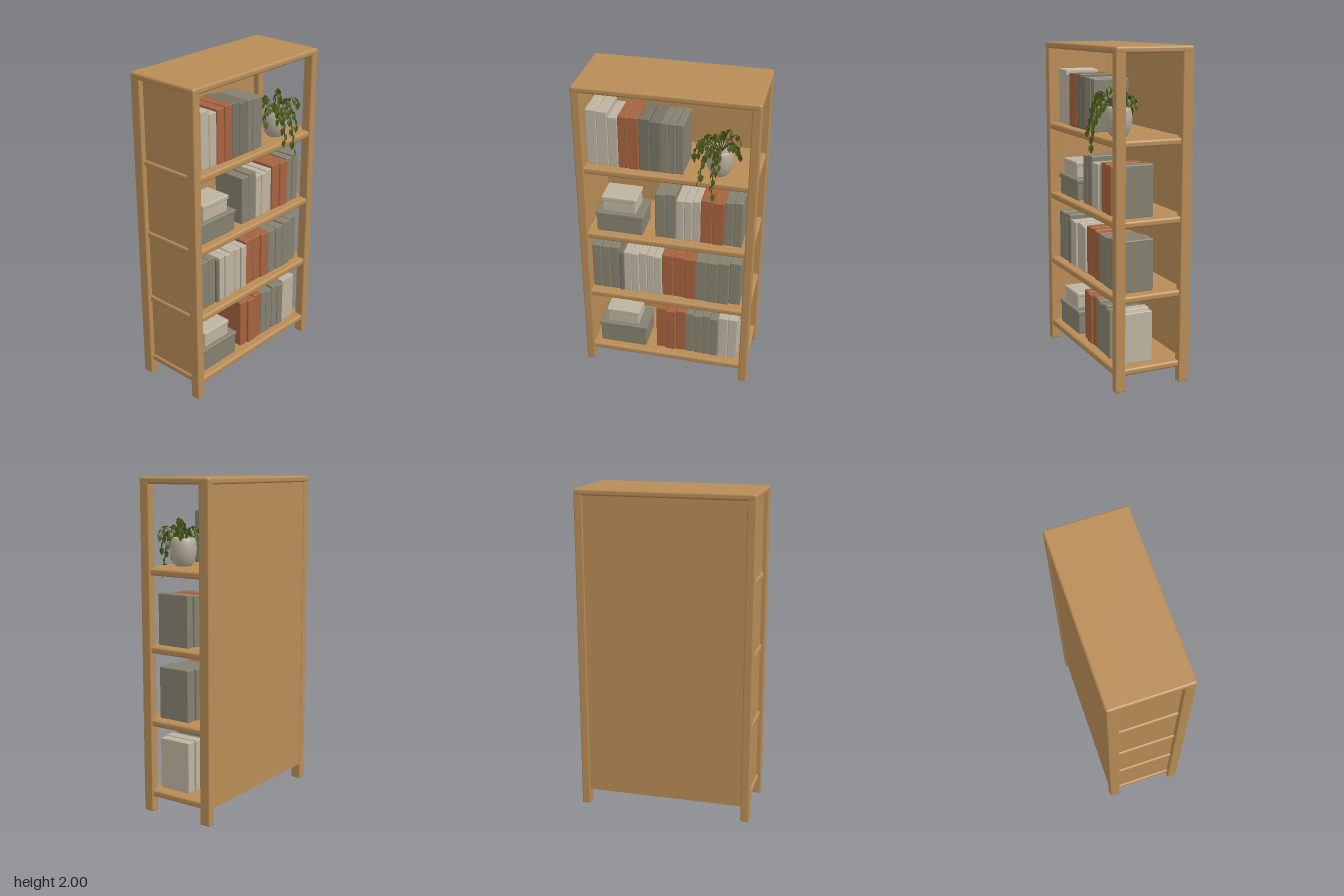
import * as THREE from 'three';
import { RoundedBoxGeometry } from 'three/addons/geometries/RoundedBoxGeometry.js';

const mat = (name, color, side = THREE.FrontSide) => {
  const m = new THREE.MeshStandardMaterial({ color, side });
  m.name = name;
  return m;
};

export function createModel() {
  const wood = mat('oak wood', 0xb88c56);
  const cream = mat('cream cover', 0xbdb3a0);
  const grey = mat('grey cover', 0x85816f);
  const darkGrey = mat('dark grey cover', 0x757263);
  const rust = mat('rust cover', 0xa5623f);
  const potMat = mat('stoneware', 0xb3a999);
  const leafMat = mat('leaf green', 0x4d5c17, THREE.DoubleSide);
  leafMat.flatShading = true;
  const stemMat = mat('stem green', 0x454a1a);

  const root = new THREE.Group();
  root.name = 'bookcase';
  let seed = 7;
  const rand = () => (seed = (seed * 16807) % 2147483647) / 2147483647;

  const add = (parent, name, geometry, material) => {
    const m = new THREE.Mesh(geometry, material);
    m.name = name;
    parent.add(m);
    return m;
  };
  // Box given by its limits on each axis, with softened edges
  const slab = (parent, name, x0, x1, y0, y1, z0, z1, material, r = 0.01) => {
    const g = r > 0
      ? new RoundedBoxGeometry(x1 - x0, y1 - y0, z1 - z0, 2, r)
      : new THREE.BoxGeometry(x1 - x0, y1 - y0, z1 - z0);
    const m = add(parent, name, g, material);
    m.position.set((x0 + x1) / 2, (y0 + y1) / 2, (z0 + z1) / 2);
    return m;
  };

  // Frame: four posts, top board, back panel and one closed end
  const frame = new THREE.Group();
  frame.name = 'frame';
  root.add(frame);
  for (const [z0, z1] of [[-0.54, -0.487], [0.487, 0.54]]) {
    slab(frame, 'backPost', -0.274, -0.205, 0, 1.98, z0, z1, wood, 0.008);
    slab(frame, 'frontPost', 0.15, 0.214, 0, 1.98, z0, z1, wood, 0.008);
  }
  slab(frame, 'topBoard', -0.276, 0.216, 1.96, 2, -0.541, 0.541, wood, 0.014);
  slab(frame, 'backPanel', -0.268, -0.245, 0.1, 1.97, -0.5, 0.5, wood, 0);
  slab(frame, 'endPanel', -0.25, 0.17, 0.1, 1.97, 0.49, 0.51, wood, 0);

  // Shelves
  const shelfTops = [0.135, 0.575, 1.02, 1.48];
  shelfTops.forEach((y) => {
    slab(frame, 'shelf', -0.26, 0.208, y - 0.042, y, -0.53, 0.522, wood, 0.014);
  });

  // Rows of books: [shelf, start z, [end z, top y, colour, volumes]...]
  const rows = [
    [3, 0.485, [[0.35, 1.835, cream, 2], [0.29, 1.81, cream, 1], [0.165, 1.82, rust, 2],
      [0.035, 1.815, darkGrey, 2], [-0.1, 1.81, grey, 3]]],
    [2, 0.075, [[-0.055, 1.335, grey, 2], [-0.205, 1.31, cream, 3], [-0.35, 1.32, rust, 2],
      [-0.46, 1.335, grey, 2]]],
    [1, 0.485, [[0.31, 0.9, grey, 3], [0.28, 0.88, darkGrey, 1], [0.035, 0.88, cream, 5],
      [-0.18, 0.885, rust, 3], [-0.465, 0.89, grey, 4]]],
    [0, 0.075, [[-0.12, 0.46, rust, 3], [-0.335, 0.452, grey, 4], [-0.46, 0.455, cream, 2]]],
  ];
  for (const [shelf, start, sets] of rows) {
    const row = new THREE.Group();
    row.name = 'bookRow';
    root.add(row);
    let z = start;
    for (const [end, top, material, count] of sets) {
      const w = (z - end) / count;
      for (let i = 0; i < count; i++) {
        const front = 0.145 + rand() * 0.015;
        slab(row, 'book', -0.06 - rand() * 0.02, front, shelfTops[shelf] - 0.002,
          top - rand() * 0.014, z - w + 0.001, z, material, 0.006);
        z -= w;
      }
    }
  }

  // Stacked storage boxes, each with a lid
  const boxStack = (y, mid, top, z0, z1) => {
    const g = new THREE.Group();
    g.name = 'boxStack';
    root.add(g);
    slab(g, 'lowerBox', -0.05, 0.16, y - 0.002, mid - 0.02, z0 + 0.006, z1 - 0.006, grey, 0.008);
    slab(g, 'lowerLid', -0.055, 0.166, mid - 0.03, mid, z0, z1, grey, 0.008);
    slab(g, 'upperBox', -0.02, 0.145, mid - 0.002, top - 0.02, 0.195, 0.405, cream, 0.008);
    slab(g, 'upperLid', -0.024, 0.15, top - 0.03, top, 0.19, 0.41, cream, 0.008);
  };
  boxStack(0.135, 0.29, 0.395, 0.135, 0.455);
  boxStack(1.02, 0.155 + 1, 1.26, 0.145, 0.445);

  // Plant pot
  const plant = new THREE.Group();
  plant.name = 'pottedPlant';
  plant.position.set(0.085, 1.48, -0.3);
  root.add(plant);
  const profile = [[0, 0], [0.045, 0], [0.062, 0.02], [0.076, 0.06], [0.08, 0.1], [0.076, 0.14],
    [0.068, 0.165], [0.06, 0.165], [0.06, 0.15], [0, 0.15]].map(([x, y]) => new THREE.Vector2(x, y));
  add(plant, 'pot', new THREE.LatheGeometry(profile, 28), potMat);

  // A pointed leaf, folded along its midrib and drooping at the tip (1 long)
  const leafGeo = new THREE.BufferGeometry();
  leafGeo.setAttribute('position', new THREE.Float32BufferAttribute([
    0, 0, 0, -0.3, 0.08, 0.3, 0.3, 0.08, 0.3, 0, 0, 0.4, -0.24, 0.02, 0.65, 0.24, 0.02, 0.65, 0, -0.16, 1,
  ], 3));
  leafGeo.setIndex([0, 1, 3, 0, 3, 2, 1, 4, 3, 3, 5, 2, 4, 6, 3, 3, 6, 5]);
  leafGeo.computeVertexNormals();

  // Arching stems, ends relative to the pot: [x, y, z]
  const ends = [
    [0.155, 0.03, 0.09], [0.165, -0.04, 0.015], [0.155, 0.1, -0.015], [0.12, 0.16, 0.11],
    [0.04, 0.14, 0.14], [0.03, 0.15, -0.115], [0.09, 0.2, -0.115], [0.09, 0.24, 0.11],
    [-0.06, 0.16, 0.11], [-0.06, 0.2, -0.1], [-0.1, 0.2, 0], [-0.1, 0.13, 0.04],
    [0.05, 0.28, 0.02], [-0.02, 0.28, -0.05], [0.12, 0.2, 0.03],
  ];
  ends.forEach(([x, y, z], k) => {
    const curve = new THREE.QuadraticBezierCurve3(
      new THREE.Vector3(x * 0.1, 0.15, z * 0.1),
      new THREE.Vector3(x * 0.75, Math.max(0.29, y), z * 0.75),
      new THREE.Vector3(x, y, z));
    add(plant, 'stem', new THREE.TubeGeometry(curve, 10, 0.003, 5), stemMat);
    const count = Math.max(5, Math.round(curve.getLength() / 0.032));
    for (let i = 0; i < count; i++) {
      const t = 0.35 + 0.65 * (i / (count - 1));
      const leaf = add(plant, 'leaf', leafGeo, leafMat);
      const p = curve.getPoint(t);
      const d = curve.getTangent(t);
      const swing = (i % 2 ? 1 : -1) * (0.6 + rand() * 0.6);
      const heading = Math.atan2(x, z) + swing + k * 0.05;
      leaf.position.copy(p);
      leaf.lookAt(p.x + Math.sin(heading), p.y - 0.5 + d.y * 0.6, p.z + Math.cos(heading));
      leaf.scale.setScalar(0.042 + rand() * 0.016);
    }
  });
  return root;
}
